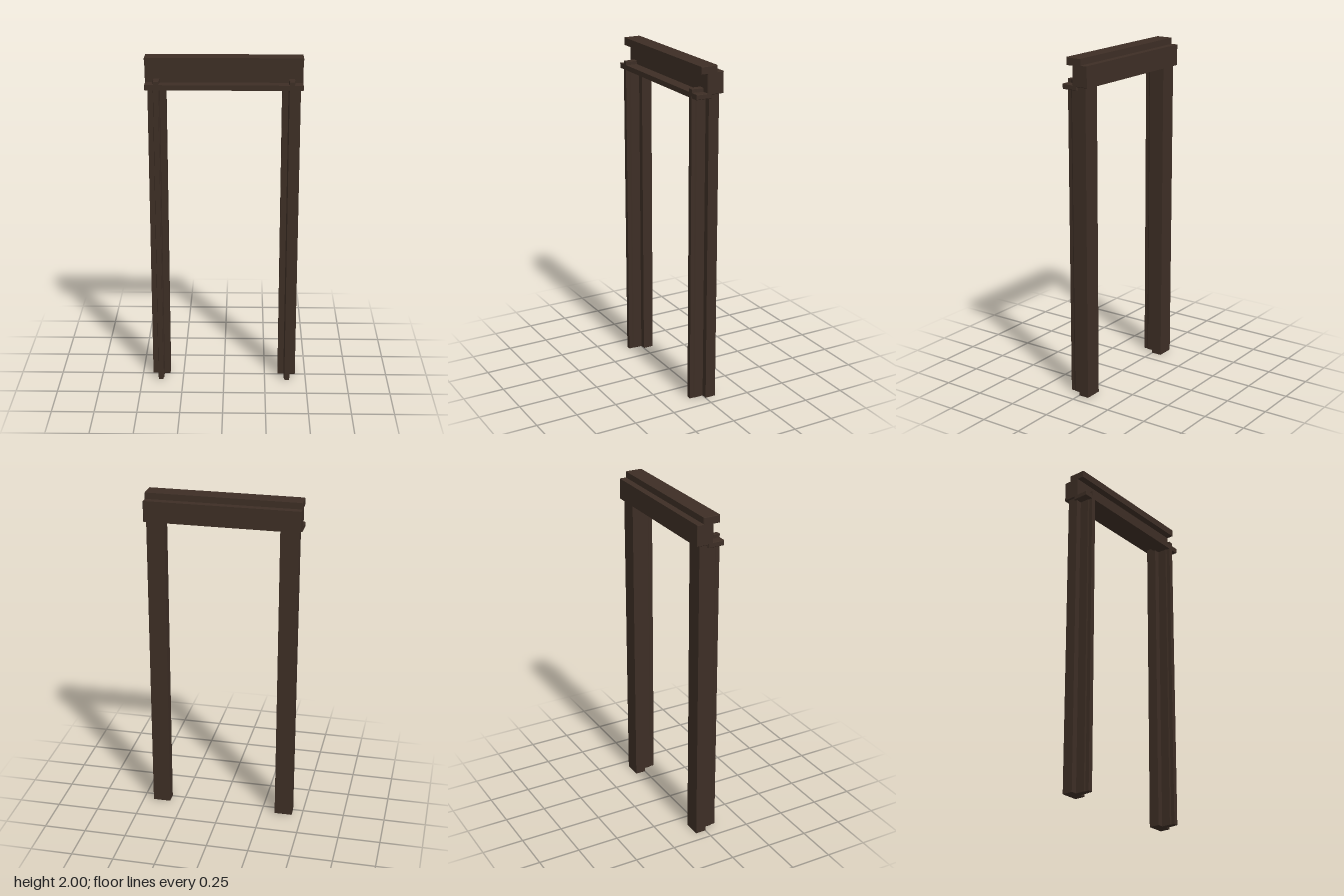
import * as THREE from 'three';

const material = new THREE.MeshStandardMaterial({ color: 0x3d2e25 });

// Extrude a closed outline with a slight eased edge at both ends
function extrude(points, length, bevel = 0.003) {
  const shape = new THREE.Shape(points.map(([a, b]) => new THREE.Vector2(a, b)));
  const geometry = new THREE.ExtrudeGeometry(shape, {
    depth: length - 2 * bevel, bevelEnabled: true, bevelSegments: 1,
    bevelThickness: bevel, bevelSize: bevel, bevelOffset: -bevel,
  });
  return geometry.translate(0, 0, bevel);
}

function addMesh(parent, name, geometry) {
  const mesh = new THREE.Mesh(geometry, material);
  mesh.name = name;
  parent.add(mesh);
  return mesh;
}

export function createModel() {
  const group = new THREE.Group();
  group.name = 'doorFrame';

  // Lintel: stepped section (z, y) with cap, back board and front shelf
  const section = [
    [0.084, 1.82], [0.084, 1.85], [0.015, 1.85], [0.015, 1.955],
    [0.055, 1.955], [0.055, 2.0], [-0.046, 2.0], [-0.046, 1.963],
    [-0.086, 1.963], [-0.086, 1.84], [-0.013, 1.84], [-0.013, 1.82],
  ];
  const lintel = extrude(section.map(([z, y]) => [-z, y]), 0.9);
  lintel.rotateY(Math.PI / 2).translate(-0.45, 0, 0);
  addMesh(group, 'lintel', lintel);

  // Posts: wide jamb behind, narrow chamfered stop rib in front
  const jamb = [[-0.053, -0.064], [0.053, -0.064], [0.053, 0], [-0.053, 0]];
  const rib = [
    [-0.018, -0.01], [0.018, -0.01], [0.018, 0.055], [0.014, 0.063],
    [0.014, 0.085], [-0.014, 0.085], [-0.014, 0.063], [-0.018, 0.055],
  ];
  for (const side of [-1, 1]) {
    const post = new THREE.Group();
    post.name = side > 0 ? 'leftPost' : 'rightPost';
    post.position.x = side * 0.385;
    for (const [name, outline, height] of [['jamb', jamb, 1.843], ['stopRib', rib, 1.872]]) {
      const geometry = extrude(outline.map(([x, z]) => [x, -z]), height, 0.002);
      addMesh(post, name, geometry.rotateX(-Math.PI / 2));
    }
    group.add(post);
  }
  return group;
}
